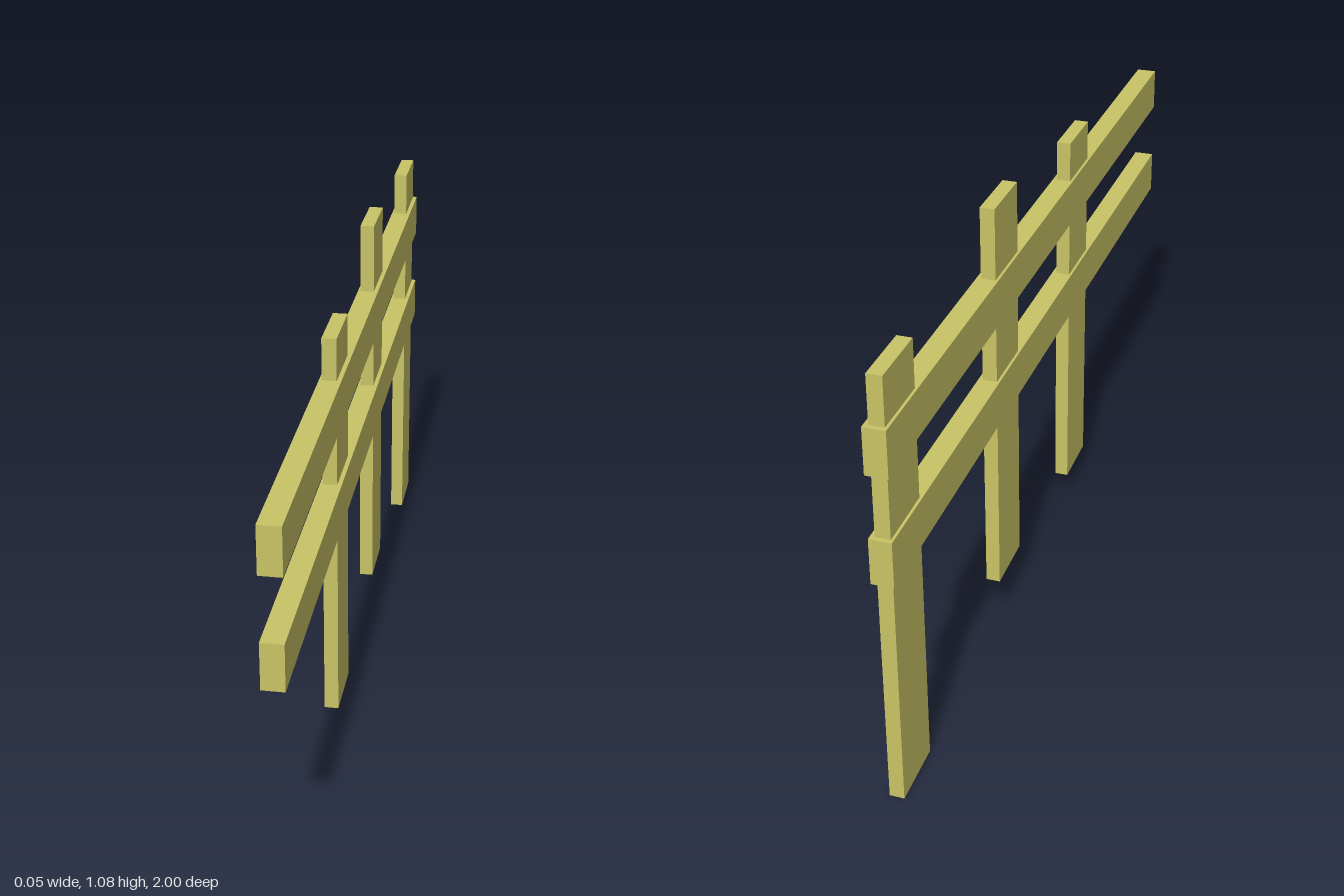
import * as THREE from 'three';

export function createModel() {
  const group = new THREE.Group();
  const wood = new THREE.MeshStandardMaterial({ color: 0xc9c466, flatShading: true });

  // Box plank given its thickness, centre x and its y and z ranges
  function plank(name, thickness, x, y0, y1, z0, z1) {
    const mesh = new THREE.Mesh(new THREE.BoxGeometry(thickness, y1 - y0, z1 - z0), wood);
    mesh.position.set(x, (y0 + y1) / 2, (z0 + z1) / 2);
    mesh.name = name;
    group.add(mesh);
  }

  // Upright posts of uneven height: centre z, bottom, top
  const posts = [
    ['frontPost', 0.262, 0.066, 1.006],
    ['middlePost', -0.292, 0.114, 1.075],
    ['backPost', -0.915, 0, 1.018],
  ];
  for (const [name, z, y0, y1] of posts) plank(name, 0.033, -0.002, y0, y1, z - 0.075, z + 0.075);

  // Two long rails, thicker than the posts they cross
  plank('upperRail', 0.049, 0, 0.803, 0.909, -1, 1);
  plank('lowerRail', 0.049, 0, 0.553, 0.659, -1, 1);

  return group;
}
